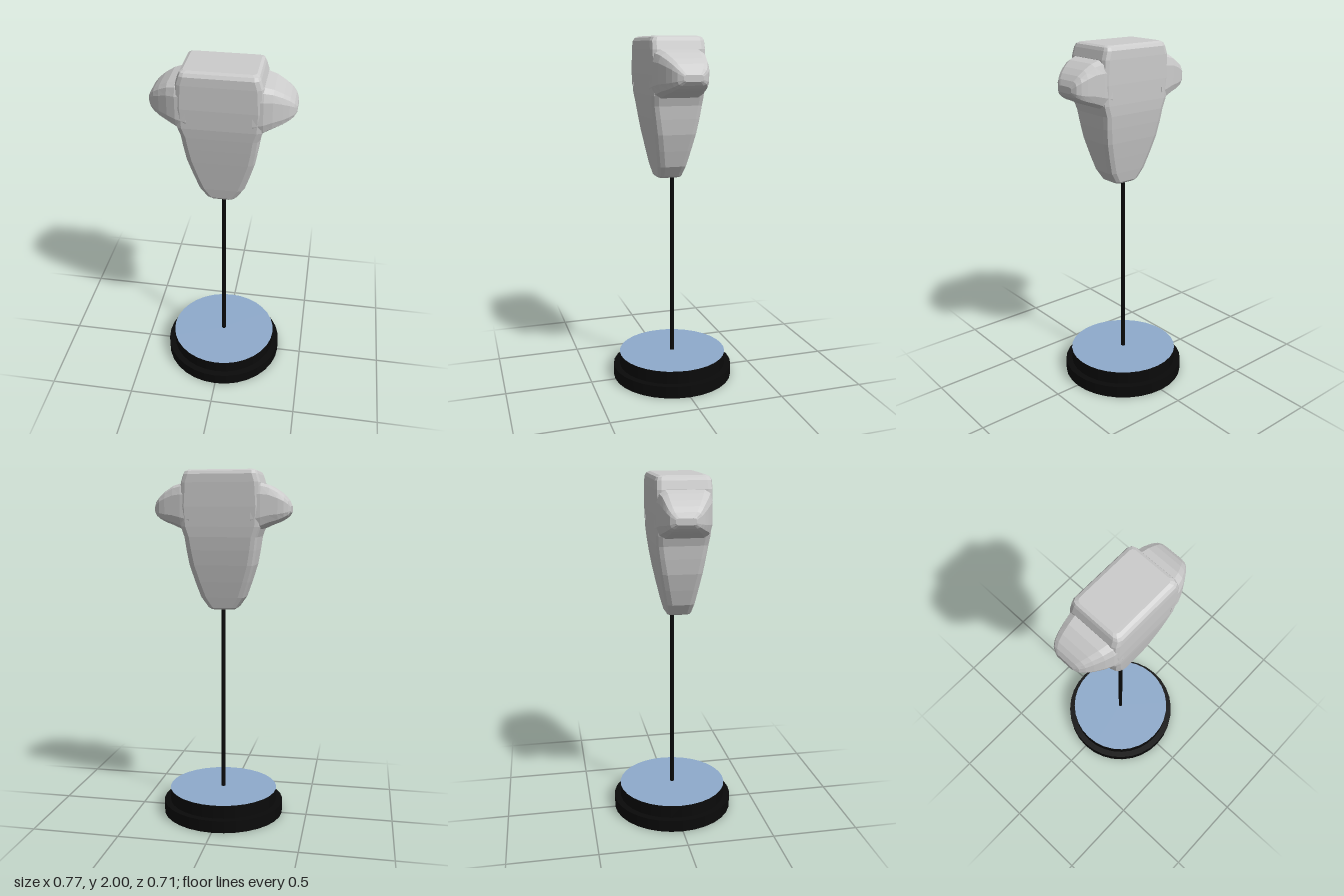
import * as THREE from 'three';

const flat = (name, color) => {
  const m = new THREE.MeshStandardMaterial({ color, flatShading: true });
  m.name = name;
  return m;
};

// Rounded rectangle ring, counter-clockwise, three points per corner
function ring(uMin, uMax, vMin, vMax, bu, bv) {
  const pts = [];
  const corners = [[uMax, vMax, 1, 1], [uMin, vMax, -1, 1], [uMin, vMin, -1, -1], [uMax, vMin, 1, -1]];
  corners.forEach(([u, v, su, sv], c) => {
    for (let k = 0; k < 3; k++) {
      const a = (c + k / 2) * Math.PI / 2;
      pts.push([u - su * bu + Math.cos(a) * bu, v - sv * bv + Math.sin(a) * bv]);
    }
  });
  return pts;
}

// Skin through rings with fan caps; place() maps (u, v, w) to x, y, z
function loft(rings, place) {
  const pos = [], idx = [], n = rings[0].pts.length;
  rings.forEach(r => r.pts.forEach(([u, v]) => pos.push(...place(u, v, r.w))));
  for (let j = 0; j < rings.length - 1; j++) {
    for (let i = 0; i < n; i++) {
      const a = j * n + i, b = j * n + (i + 1) % n;
      idx.push(a, b, b + n, a, b + n, a + n);
    }
  }
  const top = (rings.length - 1) * n;
  for (let i = 1; i < n - 1; i++) idx.push(0, i + 1, i, top, top + i, top + i + 1);
  const g = new THREE.BufferGeometry();
  g.setAttribute('position', new THREE.Float32BufferAttribute(pos, 3));
  g.setIndex(idx);
  g.computeVertexNormals();
  return g;
}

export function createModel() {
  const stone = flat('pale grey', 0xcccccc);
  const black = flat('black', 0x0a0a0a);
  const blue = flat('soft blue', 0x8fabcc);
  const model = new THREE.Group();
  const add = (name, geometry, material, y = 0) => {
    const mesh = new THREE.Mesh(geometry, material);
    mesh.name = name;
    mesh.position.y = y;
    model.add(mesh);
  };

  // Stepped round base with a coloured top
  add('baseLower', new THREE.CylinderGeometry(0.355, 0.355, 0.07, 32), black, 0.035);
  add('baseUpper', new THREE.CylinderGeometry(0.318, 0.318, 0.074, 32), black, 0.107);
  add('baseTop', new THREE.CircleGeometry(0.318, 32).rotateX(-Math.PI / 2), blue, 0.146);

  // Thin pole, reaching into the body
  add('pole', new THREE.CylinderGeometry(0.012, 0.012, 1.13, 12), black, 0.705);

  // Tapered body: y, half width, back z, front z, corner radius
  const bodySections = [
    [1.22, 0.068, -0.033, 0.095, 0.025],
    [1.23, 0.085, -0.041, 0.101, 0.03],
    [1.29, 0.127, -0.055, 0.113, 0.035],
    [1.38, 0.157, -0.074, 0.128, 0.035],
    [1.475, 0.185, -0.093, 0.144, 0.035],
    [1.56, 0.198, -0.107, 0.157, 0.033],
    [1.633, 0.207, -0.117, 0.168, 0.032],
    [1.69, 0.226, -0.121, 0.175, 0.032],
    [1.80, 0.23, -0.125, 0.18, 0.03],
    [1.93, 0.222, -0.126, 0.181, 0.03],
    [1.975, 0.208, -0.124, 0.179, 0.03],
    [1.992, 0.2, -0.115, 0.168, 0.025],
    [2.0, 0.185, -0.098, 0.15, 0.02],
  ];
  add('body', loft(
    bodySections.map(([y, hw, z0, z1, r]) => ({ w: y, pts: ring(z0, z1, -hw, hw, r, r) })),
    (u, v, w) => [v, w, u]), stone);

  // Side lobes: x, bottom y, top y, back z, front z
  const lobeSections = [
    [0.17, 1.66, 1.932, -0.124, 0.179],
    [0.225, 1.678, 1.928, -0.12, 0.175],
    [0.27, 1.698, 1.914, -0.112, 0.158],
    [0.317, 1.715, 1.885, -0.103, 0.131],
    [0.35, 1.732, 1.858, -0.093, 0.108],
    [0.372, 1.748, 1.832, -0.078, 0.086],
    [0.386, 1.768, 1.803, -0.05, 0.056],
  ];
  for (const side of [1, -1]) {
    const rings = lobeSections.map(([x, y0, y1, z0, z1]) => ({
      w: side * x,
      pts: ring(y0, y1, z0, z1, (y1 - y0) * 0.25, (z1 - z0) * 0.15),
    }));
    if (side < 0) rings.reverse();
    add(side > 0 ? 'leftLobe' : 'rightLobe', loft(rings, (u, v, w) => [w, u, v]), stone);
  }
  return model;
}
